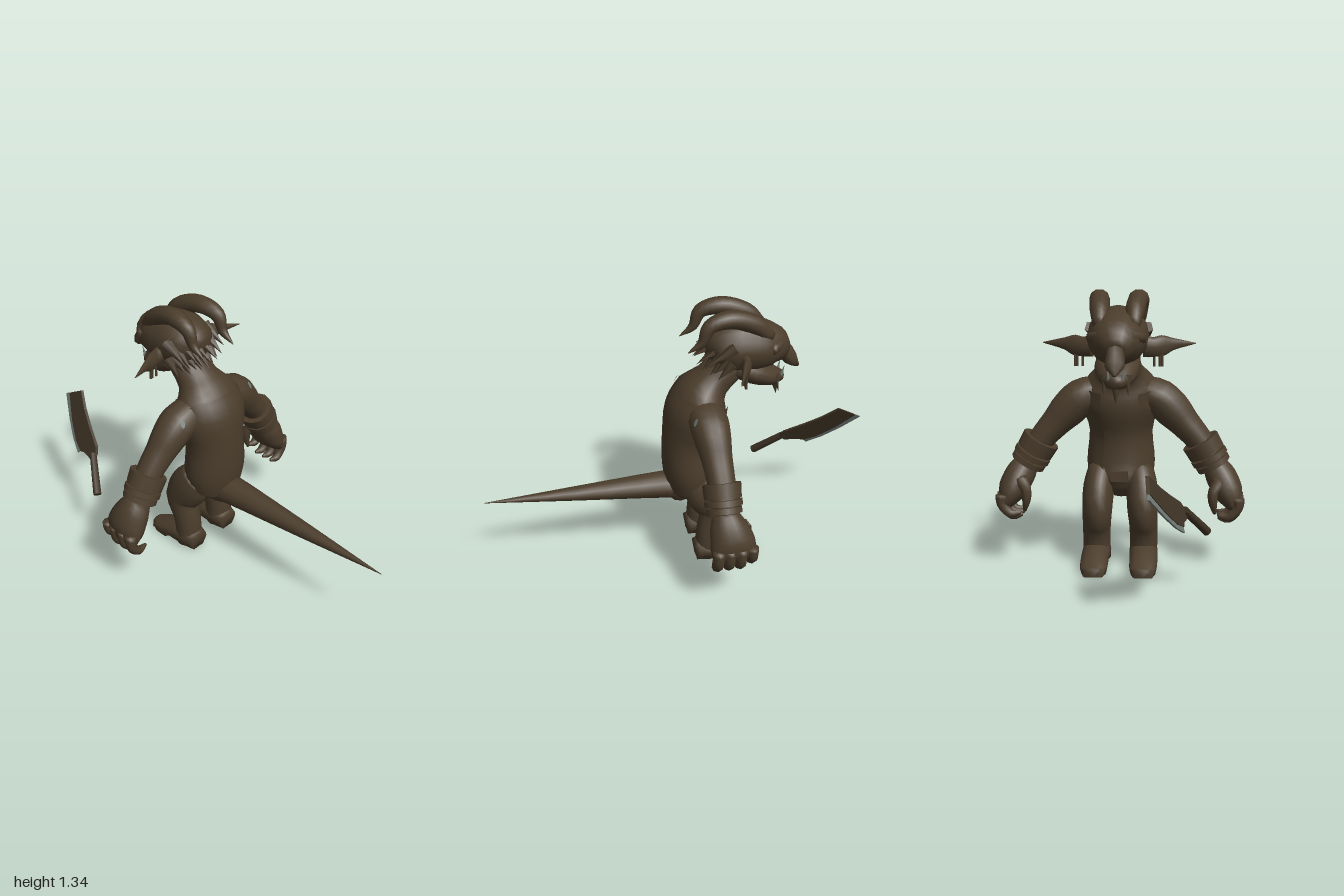
import * as THREE from 'three';

const hide = new THREE.MeshStandardMaterial({ color: 0x4b3d2c });
hide.name = 'brown hide';
const cloth = new THREE.MeshStandardMaterial({ color: 0x4a3c2b, side: THREE.DoubleSide });
cloth.name = 'brown leather';
const iron = new THREE.MeshStandardMaterial({ color: 0x3f3325 });
iron.name = 'dark iron';
const steel = new THREE.MeshStandardMaterial({ color: 0x6f7873, side: THREE.DoubleSide });
steel.name = 'worn steel';

const V = (x, y, z) => new THREE.Vector3(x, y, z);

// Skin over rings [x, y, z, radiusA, radiusB]; radiusA lies along ref, s mirrors x
function loft(rings, { ref = V(1, 0, 0), s = 1, sides = 14, steps = 3, grow = 0, arc = null } = {}) {
  const path = new THREE.CatmullRomCurve3(rings.map(r => V(r[0] * s, r[1], r[2])));
  const radii = new THREE.CatmullRomCurve3(rings.map(r => V(r[3], r[4], 0)));
  const n = (rings.length - 1) * steps, pos = [], idx = [];
  const cols = arc ? sides + 1 : sides;
  for (let i = 0; i <= n; i++) {
    const c = path.getPoint(i / n), t = path.getTangent(i / n), r = radii.getPoint(i / n);
    const a = ref.clone().addScaledVector(t, -ref.dot(t)).normalize();
    const b = t.clone().cross(a);
    for (let j = 0; j < cols; j++) {
      const th = arc ? arc[0] + (arc[1] - arc[0]) * j / sides : 2 * Math.PI * j / sides;
      const p = c.clone().addScaledVector(a, Math.cos(th) * (r.x + grow)).addScaledVector(b, Math.sin(th) * (r.y + grow));
      pos.push(p.x, p.y, p.z);
    }
  }
  for (let i = 0; i < n; i++) for (let j = 0; j < sides; j++) {
    const k = arc ? j + 1 : (j + 1) % sides, p = i * cols, q = p + cols;
    idx.push(p + j, p + k, q + j, p + k, q + k, q + j);
  }
  if (!arc) {
    const m = pos.length / 3, e = n * cols;
    for (const c of [path.getPoint(0), path.getPoint(1)]) pos.push(c.x, c.y, c.z);
    for (let j = 0; j < sides; j++) {
      const k = (j + 1) % sides;
      idx.push(m, k, j, m + 1, e + j, e + k);
    }
  }
  const g = new THREE.BufferGeometry();
  g.setAttribute('position', new THREE.Float32BufferAttribute(pos, 3));
  g.setIndex(idx);
  g.computeVertexNormals();
  return g;
}

export function createModel() {
  const model = new THREE.Group();
  model.name = 'hornedCreature';
  const add = (name, geo, mat = hide) => {
    const m = new THREE.Mesh(geo, mat);
    m.name = name;
    model.add(m);
    return m;
  };
  // Cone or cylinder running between two points
  const rod = (name, p, q, r0, r1, sides = 6, mat = hide) => {
    const d = q.clone().sub(p);
    const m = add(name, new THREE.CylinderGeometry(r1, r0, d.length(), sides), mat);
    m.position.copy(p).addScaledVector(d, 0.5);
    m.quaternion.setFromUnitVectors(V(0, 1, 0), d.normalize());
    return m;
  };

  // Torso with stooped neck
  const body = [[0, .34, -.07, .09, .08], [0, .4, -.05, .145, .13], [0, .5, -.03, .16, .13], [0, .65, -.03, .147, .13],
    [0, .8, -.06, .185, .145], [0, .89, -.09, .175, .125], [0, .96, -.14, .11, .09], [0, 1.05, -.24, .09, .08]];
  add('torso', loft(body, { sides: 20 }));

  // Open vest, belt buckle and tail
  add('vest', loft(body.slice(1, 6), { sides: 20, grow: .007, arc: [Math.PI * .66, Math.PI * 2.34] }), cloth);
  const buckle = add('beltBuckle', new THREE.BoxGeometry(.08, .05, .02));
  buckle.position.set(0, .45, -.175);
  add('tail', loft([[0, .385, .02, .085, .075], [0, .39, .1, .077, .071], [0, .394, .55, .042, .036], [0, .397, 1, .001, .001]], { sides: 10 }));
  const root = add('tailRoot', new THREE.SphereGeometry(.09, 8, 6));
  root.position.set(0, .385, .02);

  // Head, narrowing to the face
  add('head', loft([[0, 1.13, -.1, .04, .05], [0, 1.14, -.15, .115, .1], [0, 1.14, -.25, .14, .135],
    [0, 1.13, -.36, .135, .125], [0, 1.11, -.44, .105, .1], [0, 1.08, -.495, .05, .05]], { sides: 16 }));
  add('jaw', loft([[0, 1.04, -.24, .1, .06], [0, 1.0, -.33, .105, .065], [0, .96, -.43, .075, .05], [0, .95, -.49, .03, .025]]));
  add('nose', loft([[0, 1.13, -.44, .035, .03], [0, 1.09, -.49, .04, .04], [0, 1.035, -.53, .045, .035], [0, .995, -.57, .008, .008]], { sides: 8 }));
  add('brow', loft([[-.12, 1.14, -.4, .025, .02], [-.06, 1.15, -.455, .027, .025], [0, 1.13, -.475, .025, .02],
    [.06, 1.15, -.455, .027, .025], [.12, 1.14, -.4, .025, .02]], { ref: V(0, 1, 0), sides: 8 }));
  rod('beard', V(0, .96, -.45), V(0, .85, -.465), .03, 0);

  for (const s of [1, -1]) {
    const side = s > 0 ? 'left' : 'right';
    const P = (x, y, z) => V(x * s, y, z);

    // Curled horn
    add(side + 'Horn', loft([[.075, 1.19, -.4, .03, .03], [.08, 1.26, -.32, .045, .045], [.09, 1.3, -.2, .047, .043],
      [.1, 1.275, -.1, .036, .034], [.1, 1.2, -.065, .022, .022], [.1, 1.155, 0, .002, .002]], { s, sides: 10, steps: 4 }));

    // Pointed ear with hanging rings
    add(side + 'Ear', loft([[.12, 1.09, -.27, .05, .03], [.16, 1.085, -.265, .045, .022], [.2, 1.09, -.25, .048, .018],
      [.25, 1.095, -.23, .028, .012], [.355, 1.095, -.19, .002, .002]], { s, ref: V(0, 1, 0), sides: 8 }));
    for (const x of [.165, .19, .2]) rod(side + 'EarPendant', P(x, 1.06, -.255), P(x, .995, -.255), .006, .006, 5);

    // Whiskers, fangs and swept-back hair
    rod(side + 'Fang', P(.03, .96, -.475), P(.035, 1.02, -.49), .01, 0, 5, steel);
    rod(side + 'Whisker', P(.05, .98, -.44), P(.055, .89, -.46), .018, 0);
    for (let i = 0; i < 5; i++) {
      const x = .02 + i * .027;
      rod(side + 'HairUpper', P(x, 1.17, -.17 - i * .012), P(x * 1.05, 1.1 - (i % 2) * .03, -.04 - i * .012), .032, 0, 5);
      rod(side + 'HairLower', P(x, 1.09, -.16 - i * .012), P(x * 1.05, 1.02 + (i % 2) * .02, -.08 - i * .014), .03, 0, 5);
    }

    // Arm
    const z = V(0, 0, 1);
    add(side + 'Arm', loft([[.08, .86, -.07, .075, .07], [.19, .82, -.085, .095, .09], [.25, .765, -.09, .088, .09],
      [.31, .7, -.095, .075, .075], [.38, .62, -.1, .068, .065], [.46, .49, -.105, .065, .065]], { s, ref: z }));
    const patch = add(side + 'ShoulderPatch', new THREE.CircleGeometry(.022, 7), steel);
    patch.scale.set(.5, 1, 1);
    patch.position.set(.237 * s, .865, -.009);
    patch.lookAt(P(.237 + .3, .865 + .45, .8));

    // Wide cuff and stacked bangles
    const d = V(.5, -.866, 0), at = k => P(.385 + d.x * k, .615 + d.y * k, -.1);
    rod(side + 'Cuff', at(0), at(.07), .094, .09, 12);
    rod(side + 'Bangle', at(.078), at(.105), .092, .092, 12);
    rod(side + 'Bangle', at(.113), at(.14), .086, .086, 12);

    // Hand with curled fingers
    add(side + 'Palm', loft([[.455, .5, -.1, .06, .06], [.49, .44, -.11, .09, .075], [.525, .37, -.125, .108, .072],
      [.555, .3, -.13, .1, .035]], { s, ref: z }));
    for (let i = 0; i < 4; i++) {
      const fz = -.05 - i * .054, up = i === 3 ? .025 : 0;
      add(side + 'Finger', loft([[.565, .36, fz, .028, .032], [.565, .29 + up, fz, .027, .027],
        [.525, .243 + up, fz, .024, .023], [.475, .248 + up, fz, .007, .009]], { s, ref: z, sides: 8 }));
    }
    add(side + 'Thumb', loft([[.48, .43, -.18, .035, .035], [.45, .39, -.205, .03, .026], [.447, .34, -.21, .025, .022],
      [.458, .278, -.2, .006, .008]], { s, ref: z, sides: 8 }));

    // Leg and foot
    add(side + 'Leg', loft([[.09, .46, -.05, .07, .09], [.105, .38, -.1, .077, .11], [.11, .28, -.155, .073, .098],
      [.115, .17, -.12, .068, .075], [.115, .02, -.105, .068, .065]], { s }));
    const foot = loft([[.115, .05, -.035, .055, .05], [.115, .06, -.1, .07, .06], [.118, .048, -.2, .068, .05],
      [.118, .028, -.3, .064, .03], [.118, .02, -.345, .04, .02]], { s });
    const fp = foot.attributes.position;
    for (let i = 0; i < fp.count; i++) if (fp.getY(i) < .025) fp.setY(i, 0);
    foot.computeVertexNormals();
    add(side + 'Foot', foot);
  }

  // Floating cleaver: side outline [-z, y] leaned into its tilted plane
  const slab = (name, pts, thick, mat) => {
    const g = new THREE.ExtrudeGeometry(new THREE.Shape(pts.map(p => new THREE.Vector2(...p))), { depth: thick, bevelEnabled: false });
    const p = g.attributes.position;
    for (let i = 0; i < p.count; i++) {
      const X = p.getX(i), Y = p.getY(i), Z = p.getZ(i) - thick / 2;
      p.setXYZ(i, -.609 + .483 * Y + .172 * X + Z, Y, -X);
    }
    g.computeVertexNormals();
    add(name, g, mat);
  };
  slab('cleaverBlade', [[.6, .42], [.63, .39], [.7, .395], [.735, .385], [.8, .415], [.88, .485], [.965, .59],
    [.87, .64], [.8, .575], [.72, .52], [.62, .46]], .016, iron);
  slab('cleaverEdge', [[.735, .385], [.755, .365], [.83, .41], [.91, .48], [.997, .575], [.965, .59], [.88, .485], [.8, .415]], .009, steel);
  rod('cleaverHandle', V(-.41, .285, -.485), V(-.305, .425, -.625), .021, .018, 8, iron);
  return model;
}
